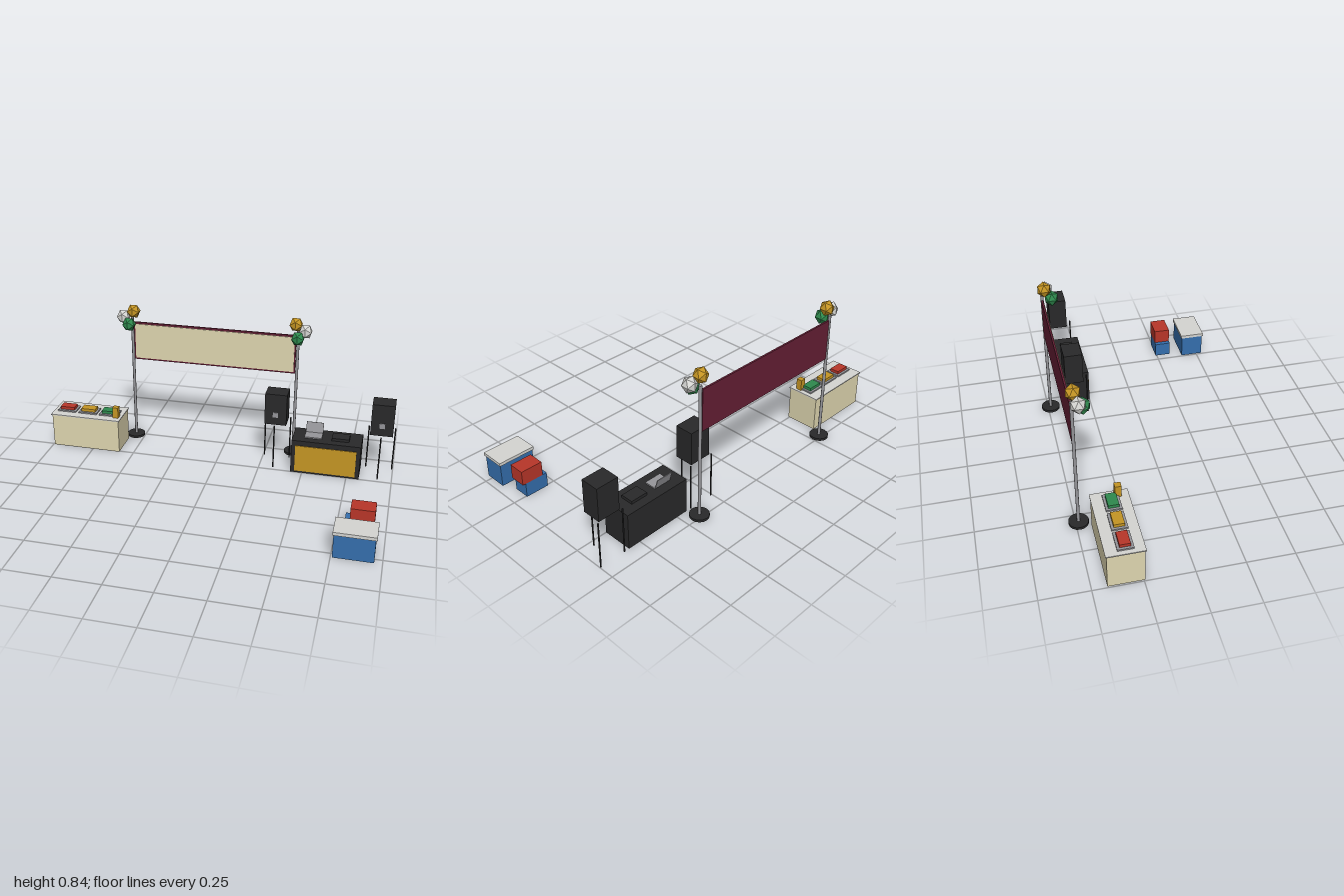
import * as THREE from 'three';

const mat = (name, color) => {
  const m = new THREE.MeshStandardMaterial({ color });
  m.name = name;
  return m;
};

export function createModel() {
  const cream = mat('cream', 0xdfd6b0);
  const silver = mat('silver', 0xd6d6d3);
  const gray = mat('gray', 0x97979b);
  const black = mat('black', 0x29292a);
  const gold = mat('gold', 0xc69624);
  const red = mat('red', 0xb93629);
  const green = mat('green', 0x2f8a4e);
  const blue = mat('blue', 0x356fae);
  const maroon = mat('maroon', 0x651f35);

  const model = new THREE.Group();
  model.name = 'eventSetup';

  const group = (name) => {
    const g = new THREE.Group();
    g.name = name;
    model.add(g);
    return g;
  };
  const add = (parent, name, geometry, material, x, y, z) => {
    const m = new THREE.Mesh(geometry, material);
    m.name = name;
    m.position.set(x, y, z);
    parent.add(m);
    return m;
  };
  // Box given by its lower and upper limits on each axis
  const box = (parent, name, material, x0, x1, y0, y1, z0, z1) =>
    add(parent, name, new THREE.BoxGeometry(x1 - x0, y1 - y0, z1 - z0), material,
      (x0 + x1) / 2, (y0 + y1) / 2, (z0 + z1) / 2);
  const rod = (parent, name, material, r, y0, y1, x, z, sides) =>
    add(parent, name, new THREE.CylinderGeometry(r, r, y1 - y0, sides), material, x, (y0 + y1) / 2, z);

  // Banner hung between two poles
  const banner = group('banner');
  const midX = -0.07, poleZ = -0.485;
  box(banner, 'bannerBacking', maroon, midX - 0.474, midX + 0.474, 0.505, 0.735, -0.491, -0.481);
  box(banner, 'bannerFace', cream, midX - 0.466, midX + 0.466, 0.515, 0.724, -0.481, -0.477);

  // Poles with round bases and a balloon cluster, mirrored about the banner centre
  const balloonGeo = new THREE.IcosahedronGeometry(0.04, 0).scale(1, 1.08, 1);
  const balloons = [
    ['goldBalloon', gold, 0.47, 0.803, -0.473],
    ['silverBalloon', silver, 0.527, 0.771, -0.459],
    ['greenBalloon', green, 0.488, 0.735, -0.434],
  ];
  for (const side of [-1, 1]) {
    const stand = group(side < 0 ? 'rightPoleStand' : 'leftPoleStand');
    const x = midX + side * 0.484;
    rod(stand, 'poleBase', black, 0.052, 0, 0.014, x, poleZ, 16);
    rod(stand, 'pole', gray, 0.0085, 0.014, 0.76, x, poleZ, 10);
    for (const [name, m, dx, y, z] of balloons) {
      add(stand, name, balloonGeo, m, midX + side * dx, y, z);
    }
  }

  // Food table with three trays and a bottle
  const food = group('foodTable');
  box(food, 'tableCloth', cream, -0.993, -0.585, 0, 0.197, -0.425, -0.243);
  box(food, 'tableTop', silver, -1, -0.58, 0.197, 0.203, -0.43, -0.238);
  [red, gold, green].forEach((m, i) => {
    const x = -0.92 + i * 0.129;
    box(food, 'tray', gray, x - 0.056, x + 0.056, 0.203, 0.211, -0.371, -0.29);
    box(food, 'trayFood', m, x - 0.043, x + 0.043, 0.211, 0.228, -0.358, -0.304);
  });
  box(food, 'bottle', gold, -0.628, -0.595, 0.203, 0.268, -0.309, -0.276);

  // Music table with laptop and mixer
  const music = group('musicTable');
  box(music, 'musicTableBody', black, 0.434, 0.82, 0, 0.2, -0.415, -0.25);
  box(music, 'frontPanel', gold, 0.457, 0.797, 0.012, 0.17, -0.25, -0.246);
  box(music, 'mixer', black, 0.653, 0.75, 0.2, 0.216, -0.367, -0.296);
  box(music, 'laptopBase', gray, 0.5, 0.597, 0.2, 0.207, -0.362, -0.296);
  const screen = box(music, 'laptopScreen', gray, 0.5, 0.597, 0.204, 0.264, -0.375, -0.371);
  screen.rotation.x = -0.3;

  // Speakers on three thin legs
  [0.33, 0.921].forEach((x, i) => {
    const speaker = group(i ? 'leftSpeaker' : 'rightSpeaker');
    box(speaker, 'cabinet', black, x - 0.062, x + 0.062, 0.258, 0.443, -0.407, -0.305);
    box(speaker, 'speakerBadge', gray, x - 0.015, x + 0.015, 0.304, 0.334, -0.305, -0.301);
    for (const [dx, z] of [[-0.073, -0.414], [0.073, -0.414], [0, -0.278]]) {
      rod(speaker, 'speakerLeg', black, 0.004, 0, 0.26, x + dx, z, 8);
    }
  });

  // Cooler box with an overhanging lid
  const cooler = group('cooler');
  box(cooler, 'coolerBody', blue, 0.758, 0.96, 0, 0.13, 0.405, 0.533);
  box(cooler, 'coolerLid', silver, 0.753, 0.966, 0.13, 0.148, 0.399, 0.539);

  // Two stacked crates
  const crates = group('crates');
  box(crates, 'lowerCrate', blue, 0.793, 0.925, 0, 0.082, 0.243, 0.334);
  box(crates, 'upperCrate', red, 0.818, 0.942, 0.082, 0.164, 0.243, 0.334);

  return model;
}
